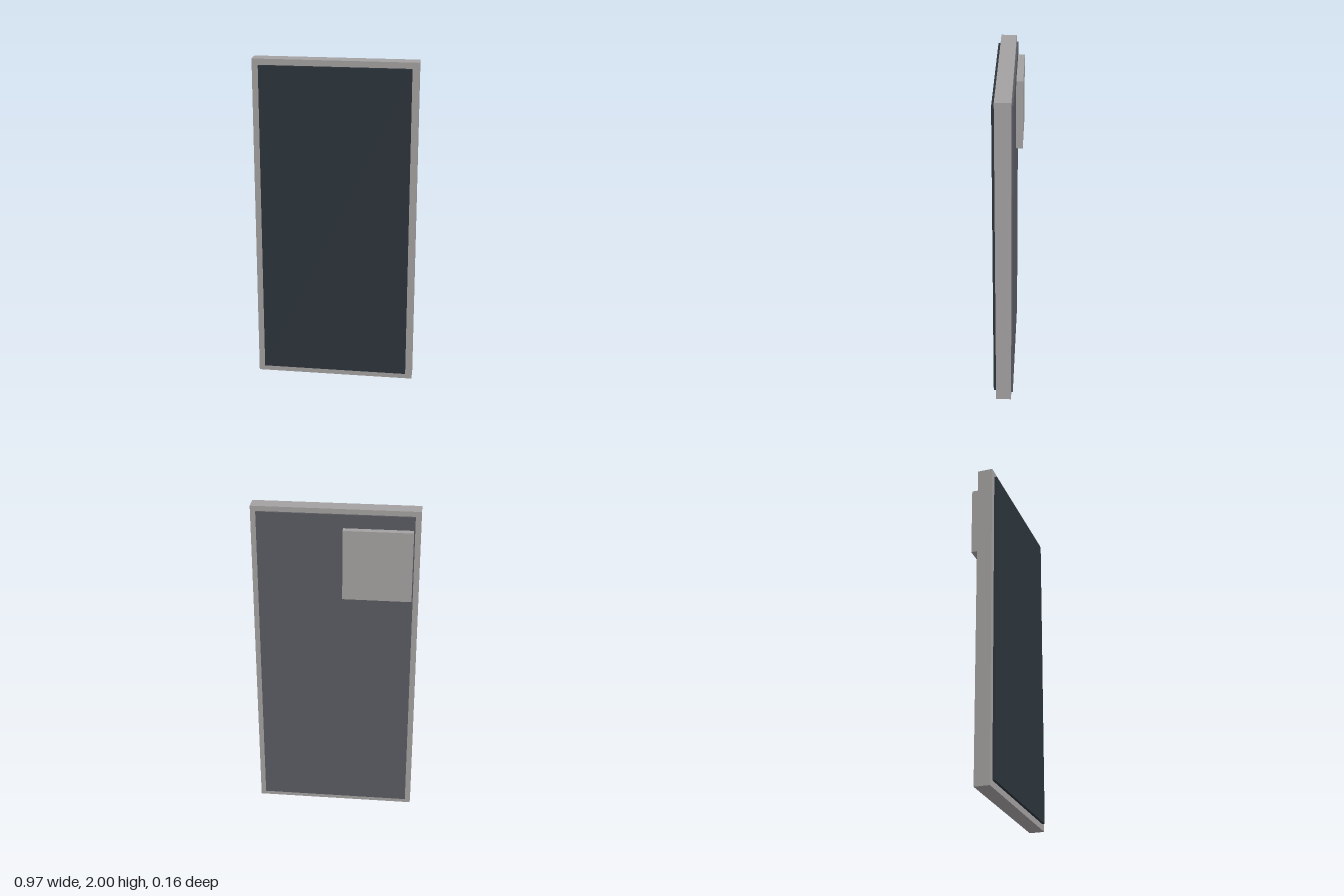
import * as THREE from 'three';

export function createModel() {
  const model = new THREE.Group();
  model.name = 'phone';

  const material = (name, color) => {
    const m = new THREE.MeshStandardMaterial({ color });
    m.name = name;
    return m;
  };
  const metal = material('warm grey metal', 0xa3a0a0);
  const glass = material('dark screen glass', 0x2c343b);
  const slate = material('slate back', 0x595b62);

  // Box given by its lower and upper corners
  const slab = (name, mat, [x0, y0, z0], [x1, y1, z1]) => {
    const mesh = new THREE.Mesh(new THREE.BoxGeometry(x1 - x0, y1 - y0, z1 - z0), mat);
    mesh.position.set((x0 + x1) / 2, (y0 + y1) / 2, (z0 + z1) / 2);
    mesh.name = name;
    model.add(mesh);
  };

  // Body, with the screen in front and the cover behind
  slab('frame', metal, [-0.484, 0, -0.03], [0.484, 2, 0.062]);
  slab('screen', glass, [-0.445, 0.038, 0.062], [0.445, 1.964, 0.078]);
  slab('backCover', slate, [-0.452, 0.03, -0.04], [0.452, 1.97, -0.03]);

  // Raised camera block in the upper corner of the back
  slab('cameraBlock', metal, [-0.446, 1.465, -0.08], [-0.046, 1.89, -0.04]);

  return model;
}
